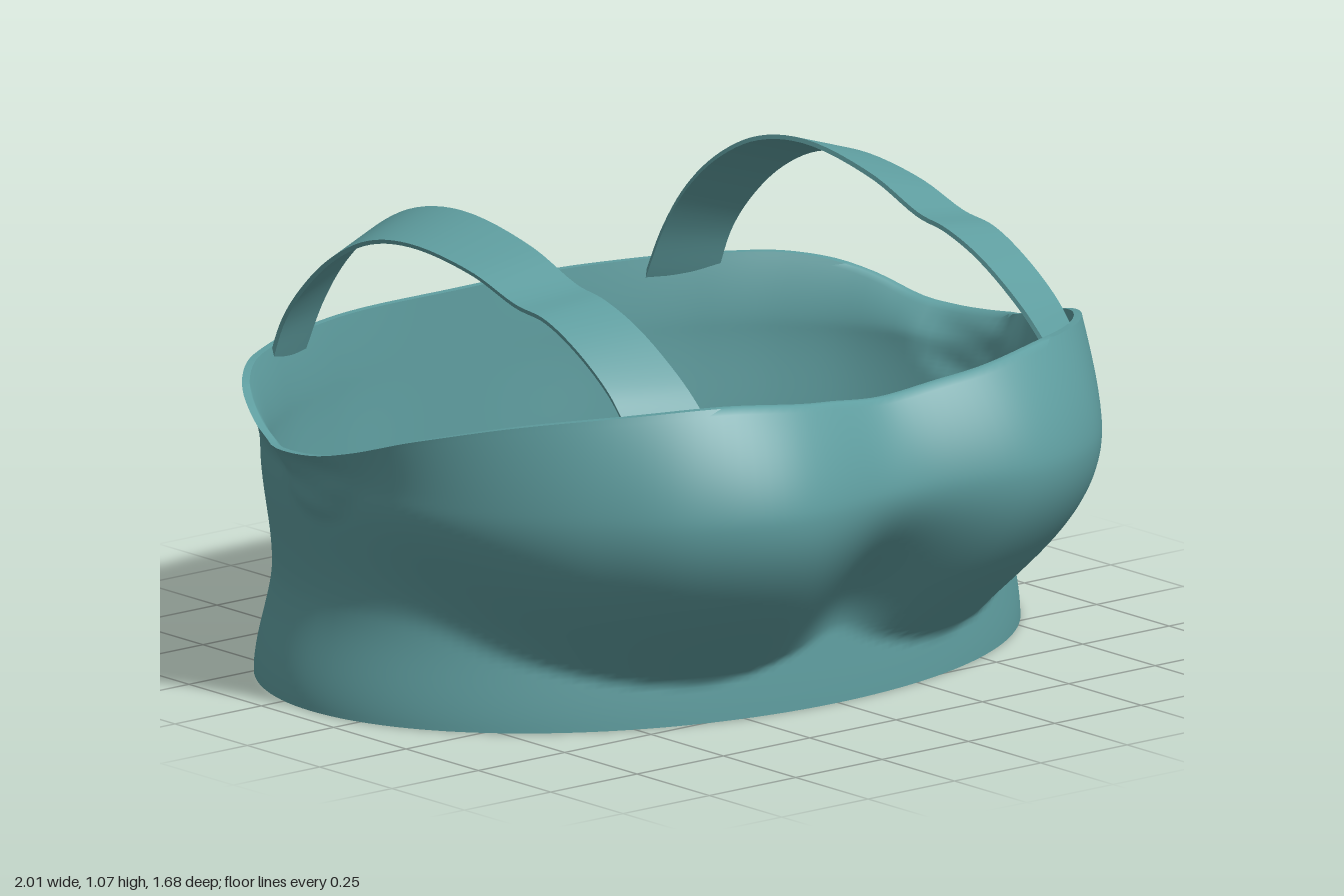
import * as THREE from 'three';
import { toCreasedNormals } from 'three/addons/utils/BufferGeometryUtils.js';

const ZC = -0.145; // plan centre of the body
const clamp = (v) => Math.min(1, Math.max(0, v));
const mix = (a, b, t) => a + (b - a) * t;
const smooth = (v) => { const t = clamp(v); return t * t * (3 - 2 * t); };

// Smooth curve through [angle, value] pairs, level at both ends
function curve(table) {
  const n = table.length;
  const slope = table.map((p, i) => (i === 0 || i === n - 1) ? 0
    : (table[i + 1][1] - table[i - 1][1]) / (table[i + 1][0] - table[i - 1][0]));
  return (a) => {
    let i = 0;
    while (i < n - 2 && a > table[i + 1][0]) i++;
    const h = table[i + 1][0] - table[i][0], t = clamp((a - table[i][0]) / h);
    const t2 = t * t, t3 = t2 * t;
    return (2 * t3 - 3 * t2 + 1) * table[i][1] + (t3 - 2 * t2 + t) * h * slope[i]
      + (3 * t2 - 2 * t3) * table[i + 1][1] + (t3 - t2) * h * slope[i + 1];
  };
}

// Angles in degrees from the front; values are radii or heights
const bustRadius = curve([[0, 0.935], [6, 0.949], [20, 1.043], [33, 1.06], [45, 1.035], [56, 1.01],
  [70, 0.98], [82, 0.95], [92, 0.937], [107, 0.9], [117, 0.855], [129, 0.795], [148, 0.718], [180, 0.662]]);
const rimRadius = curve([[0, 0.855], [7, 0.872], [18.7, 0.934], [31, 0.972], [42, 0.985], [56, 0.988],
  [70, 0.99], [82, 0.987], [92, 0.982], [107, 0.945], [117, 0.893], [129, 0.817], [148, 0.727], [180, 0.662]]);
const rimHeight = curve([[0, 0.73], [12, 0.752], [28, 0.78], [42, 0.767], [56, 0.735], [70, 0.68],
  [82, 0.62], [93, 0.597], [99.5, 0.61], [106, 0.647], [113, 0.677], [122, 0.69], [180, 0.678]]);
const creaseHeight = curve([[0, 0.17], [10, 0.13], [24, 0.095], [40, 0.105], [58, 0.16], [75, 0.23], [180, 0.24]]);

function bodyRadius(deg, y) {
  const a = THREE.MathUtils.degToRad(deg), s = Math.sin(a), c = Math.cos(a);
  const top = rimHeight(deg), peak = Math.min(0.53, top - 0.07), crease = creaseHeight(deg);
  // lower band: an ellipse drawn in at the waist
  const ellipse = 1 / Math.hypot(s / 0.945, c / 0.695);
  const pinch = 0.048 * smooth(y / 0.25) * (c > 0 ? 1 - 0.8 * c : 1);
  const base = ellipse * (1 - pinch);
  // cups swell above the crease, softening at the middle and towards the sides
  const t = clamp((y - crease) / (peak - crease));
  const soft = Math.max(smooth((deg - 45) / 35), 0.8 * smooth(1 - deg / 18));
  const w = mix(Math.sin(t * Math.PI / 2), smooth(t), soft);
  let r = mix(base, bustRadius(deg), w);
  if (y > peak) r = mix(bustRadius(deg), rimRadius(deg), Math.pow((y - peak) / (top - peak), 1.6));
  // wrinkled fold below each armhole
  const z = ZC + r * c;
  const d = ((z + 0.13) / 0.16) ** 2 + ((0.58 - y) / 0.15) ** 2;
  if (d < 1) r += 0.02 * smooth((1 - d) * 1.3) * (0.85 + 0.15 * Math.sin(y * 75 + z * 12));
  return r;
}

// Skin a series of equal closed sections; the series may itself close
function loft(sections, closed, creaseAngle) {
  const n = sections.length, m = sections[0].length, index = [];
  for (let i = 0; i < (closed ? n : n - 1); i++) {
    for (let j = 0; j < m; j++) {
      const i2 = (i + 1) % n, j2 = (j + 1) % m;
      const a = i * m + j, b = i2 * m + j, c = i2 * m + j2, d = i * m + j2;
      index.push(a, b, c, a, c, d);
    }
  }
  if (!closed) {
    const e = (n - 1) * m;
    for (let j = 1; j < m - 1; j++) index.push(0, j, j + 1, e, e + j + 1, e + j);
  }
  const geometry = new THREE.BufferGeometry().setFromPoints(sections.flat());
  geometry.setIndex(index);
  return toCreasedNormals(geometry, creaseAngle);
}

function bodyGeometry() {
  const around = 200, rows = 56, thickness = 0.018, sections = [];
  for (let i = 0; i < around; i++) {
    const deg = (i / around) * 360, a = THREE.MathUtils.degToRad(deg);
    const fold = deg > 180 ? 360 - deg : deg, top = rimHeight(fold);
    const outer = [], inner = [];
    for (let j = 0; j <= rows; j++) {
      const y = top * j / rows, r = bodyRadius(fold, y);
      const at = (q) => new THREE.Vector3(q * Math.sin(a), y, ZC + q * Math.cos(a));
      outer.push(at(r));
      inner.unshift(at(r - thickness));
    }
    sections.push([...outer, ...inner]);
  }
  return loft(sections, true, 1.05);
}

// Strap edges as [z, y], running from front to back
const innerEdge = [[0.69, 0.755], [0.6, 0.83], [0.45, 0.92], [0.33, 0.963], [0.24, 0.978], [0.08, 1.035],
  [-0.15, 1.07], [-0.32, 1.045], [-0.46, 0.975], [-0.57, 0.88], [-0.65, 0.77], [-0.71, 0.65]];
const outerEdge = [[0.59, 0.75], [0.53, 0.815], [0.42, 0.89], [0.31, 0.939], [0.21, 0.953], [0.06, 0.997],
  [-0.15, 1.02], [-0.3, 0.998], [-0.43, 0.932], [-0.535, 0.84], [-0.6, 0.755], [-0.645, 0.65]];

function strapGeometry(side) {
  const path = (edge, x) => new THREE.CatmullRomCurve3(edge.map(([z, y]) => new THREE.Vector3(side * x, y, z)));
  const inner = path(innerEdge, 0.495), outer = path(outerEdge, 0.65), sections = [];
  for (let i = 0; i <= 60; i++) {
    const t = i / 60, p = inner.getPoint(t), q = outer.getPoint(t);
    const along = inner.getTangent(t);
    const down = new THREE.Vector3().crossVectors(along, q.clone().sub(p)).normalize().multiplyScalar(0.01 * side);
    const ring = [q, p, p.clone().add(down), q.clone().add(down)];
    sections.push(side > 0 ? ring : ring.reverse());
  }
  return loft(sections, false, 0.7);
}

export function createModel() {
  const group = new THREE.Group();
  group.name = 'strappedTop';
  const cloth = new THREE.MeshStandardMaterial({ color: 0x5f9ea0, side: THREE.DoubleSide });
  const add = (name, geometry) => {
    const mesh = new THREE.Mesh(geometry, cloth);
    mesh.name = name;
    group.add(mesh);
  };
  add('bodice', bodyGeometry());
  add('leftStrap', strapGeometry(1));
  add('rightStrap', strapGeometry(-1));
  return group;
}
